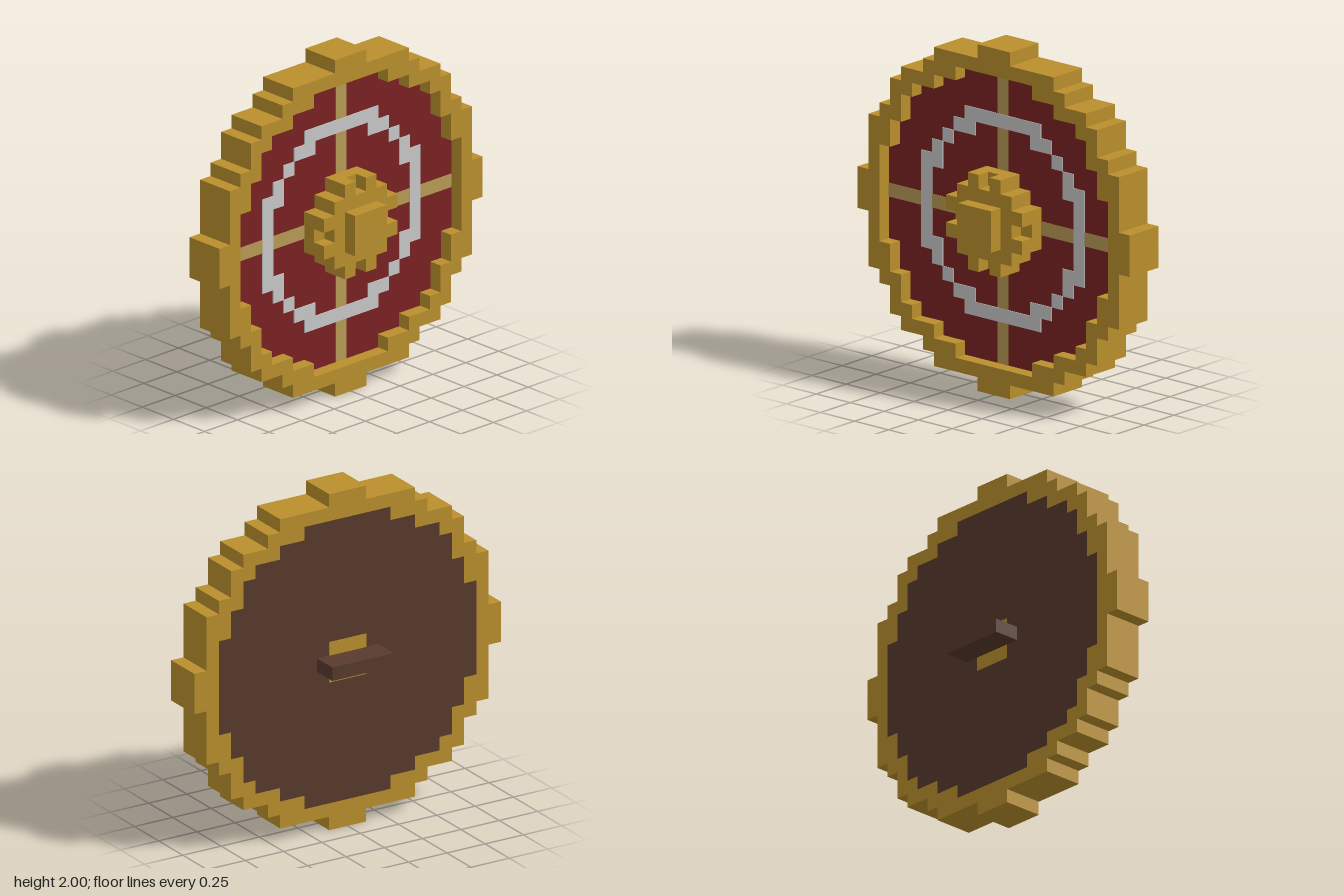
import * as THREE from 'three';
import { mergeGeometries } from 'three/addons/utils/BufferGeometryUtils.js';

const U = 0.08; // size of one block

const material = (name, color) => {
  const m = new THREE.MeshStandardMaterial({ color });
  m.name = name;
  return m;
};

// Stepped round outline; half[j] is the half width, in blocks, of row j above the middle
function steppedPoints(half) {
  const quarter = [];
  half.forEach((h, j) => {
    const x = (h + 0.5) * U;
    if (j === 0 || half[j - 1] !== h) quarter.push([x, j === 0 ? 0 : (j - 0.5) * U]);
    if (j === half.length - 1 || half[j + 1] !== h) quarter.push([x, (j + 0.5) * U]);
  });
  quarter.shift(); // the first point lies in the middle of a straight side
  const back = [...quarter].reverse();
  return [
    ...quarter,
    ...back.map(([x, y]) => [-x, y]),
    ...quarter.map(([x, y]) => [-x, -y]),
    ...back.map(([x, y]) => [x, -y]),
  ].map(([x, y]) => new THREE.Vector2(x, y));
}

function slab(half, z0, z1, holeHalf) {
  const shape = new THREE.Shape(steppedPoints(half));
  if (holeHalf) shape.holes.push(new THREE.Path(steppedPoints(holeHalf)));
  const g = new THREE.ExtrudeGeometry(shape, { depth: z1 - z0, bevelEnabled: false });
  return g.translate(0, 0, z0);
}

// Box covering blocks i0..i1 by j0..j1
function blocks(i0, i1, j0, j1, z0, z1) {
  const g = new THREE.BoxGeometry((i1 - i0 + 1) * U, (j1 - j0 + 1) * U, z1 - z0);
  return g.translate((i0 + i1) / 2 * U, (j0 + j1) / 2 * U, (z0 + z1) / 2);
}

export function createModel() {
  const gold = material('gold', 0xba902c);
  const red = material('dark red', 0x7a2222);
  const silver = material('silver', 0xc8c8c8);
  const tan = material('tan', 0xb89a55);
  const brown = material('dark brown', 0x583a2c);

  const model = new THREE.Group();
  model.name = 'roundShield';
  const add = (name, geometry, mat) => {
    const mesh = new THREE.Mesh(geometry, mat);
    mesh.name = name;
    mesh.position.y = 1;
    model.add(mesh);
  };

  // Rim, recessed front panel and flush back board
  const outer = [12, 12, 11, 11, 11, 11, 10, 9, 9, 8, 6, 5, 1];
  const inner = [10, 10, 10, 10, 9, 9, 8, 8, 7, 5, 3];
  add('rim', slab(outer, -0.12, 0.12, inner), gold);
  add('frontPanel', slab(inner, -0.04, 0.04), red);
  add('backBoard', slab(inner, -0.12, -0.04), brown);

  // Painted cross
  add('cross', mergeGeometries([
    blocks(0, 0, -10, 10, 0.04, 0.042),
    blocks(-10, 10, 0, 0, 0.04, 0.042),
  ]), tan);

  // Painted ring: runs of blocks in the upper right quarter, mirrored to all four
  const runs = [[0, 3, 7, 7], [3, 4, 6, 6], [5, 5, 5, 5], [6, 6, 3, 4], [7, 7, 0, 3]];
  const ring = [];
  for (const [i0, i1, j0, j1] of runs)
    for (const sx of [1, -1])
      for (const sy of [1, -1]) {
        const [a, b] = sx > 0 ? [i0, i1] : [-i1, -i0];
        const [c, d] = sy > 0 ? [j0, j1] : [-j1, -j0];
        ring.push(blocks(a, b, c, d, 0.04, 0.045));
      }
  add('ring', mergeGeometries(ring), silver);

  // Stepped boss with a notched lug on each side
  add('bossBase', slab([3, 3, 2, 1], 0.04, 0.12), gold);
  add('bossMiddle', blocks(-2, 2, -2, 2, 0.12, 0.2), gold);
  add('bossCap', blocks(-1, 1, -1, 1, 0.2, 0.28), gold);
  const lugs = [];
  for (const a of [-3, 3])
    for (const b of [-1, 1])
      lugs.push(blocks(a, a, b, b, 0.12, 0.2), blocks(b, b, a, a, 0.12, 0.2));
  add('bossLugs', mergeGeometries(lugs), gold);

  // Back plate and hand grip
  add('gripPlate', blocks(-1, 1, -1, 1, -0.123, -0.12), gold);
  add('grip', blocks(-2, 2, 0, 0, -0.28, -0.12), brown);

  return model;
}
